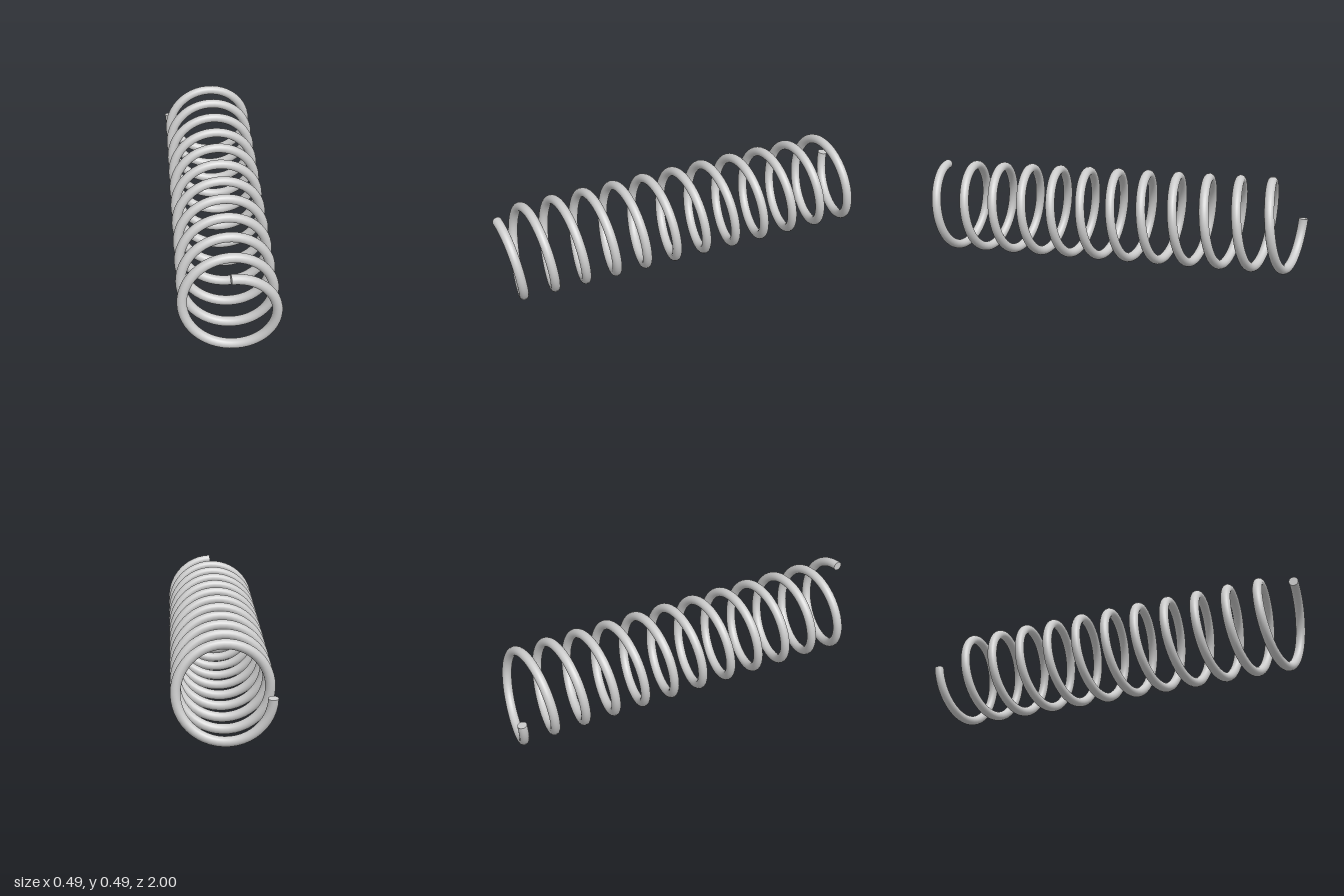
import * as THREE from 'three';

const COIL_RADIUS = 0.2225, WIRE_RADIUS = 0.0245, CENTRE_Y = 0.2485;
const TURNS = 11.75, HALF_LENGTH = 1 - WIRE_RADIUS;

// Helix along z: starts at the top of the front end, turning towards +x
class Helix extends THREE.Curve {
  getPoint(t, target = new THREE.Vector3()) {
    const a = t * TURNS * Math.PI * 2;
    return target.set(
      COIL_RADIUS * Math.sin(a),
      CENTRE_Y + COIL_RADIUS * Math.cos(a),
      HALF_LENGTH * (1 - 2 * t)
    );
  }

  // Exact tangent keeps the wire and its cut ends square
  getTangent(t, target = new THREE.Vector3()) {
    const w = TURNS * Math.PI * 2, a = t * w;
    return target.set(
      COIL_RADIUS * w * Math.cos(a),
      -COIL_RADIUS * w * Math.sin(a),
      -2 * HALF_LENGTH
    ).normalize();
  }
}

export function createModel() {
  const group = new THREE.Group();
  group.name = 'coilSpring';
  const material = new THREE.MeshStandardMaterial({ color: 0xcccccc });
  const helix = new Helix();
  helix.arcLengthDivisions = 2000;

  // Coiled wire
  const wire = new THREE.Mesh(
    new THREE.TubeGeometry(helix, Math.round(TURNS * 48), WIRE_RADIUS, 20, false), material);
  wire.name = 'coiledWire';
  group.add(wire);

  // Flat cut faces closing both wire ends
  for (const [name, t, sign] of [['frontWireEnd', 0, -1], ['backWireEnd', 1, 1]]) {
    const cap = new THREE.Mesh(new THREE.CircleGeometry(WIRE_RADIUS, 20), material);
    cap.name = name;
    cap.position.copy(helix.getPoint(t));
    cap.quaternion.setFromUnitVectors(
      new THREE.Vector3(0, 0, 1), helix.getTangent(t).multiplyScalar(sign));
    group.add(cap);
  }
  return group;
}
